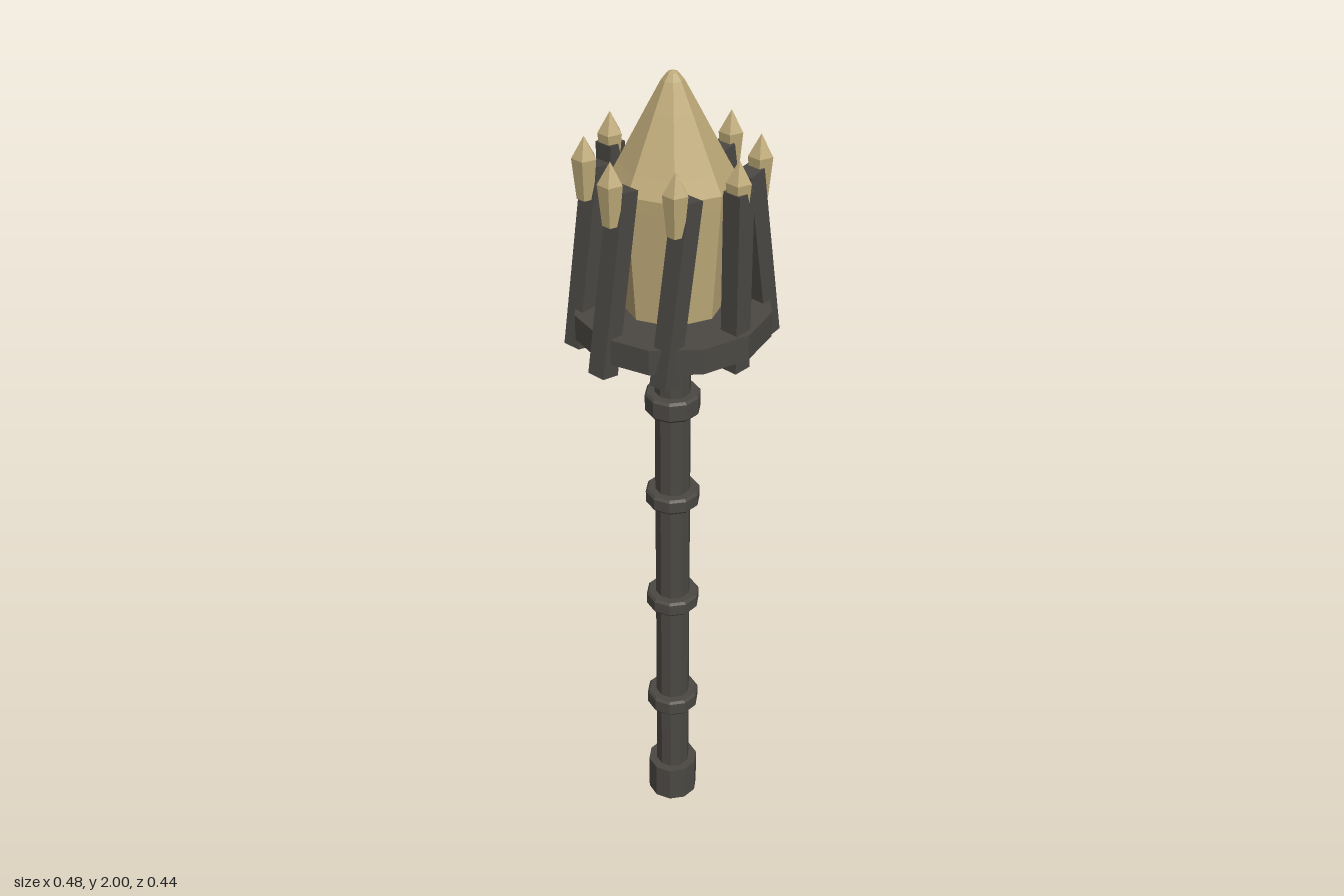
import * as THREE from 'three';

export function createModel() {
  const group = new THREE.Group();
  const iron = new THREE.MeshStandardMaterial({ color: 0x4b4843, flatShading: true });
  iron.name = 'dark iron';
  const gold = new THREE.MeshStandardMaterial({ color: 0xbda978, flatShading: true });
  gold.name = 'pale gold';

  const add = (name, geometry, material, x = 0, y = 0, z = 0) => {
    const mesh = new THREE.Mesh(geometry, material);
    mesh.name = name;
    mesh.position.set(x, y, z);
    group.add(mesh);
    return mesh;
  };
  // upright prism, with a corner facing +x
  const prism = (r, h, sides) => new THREE.CylinderGeometry(r, r, h, sides).rotateY(Math.PI / 2);
  const lathe = (profile, sides) =>
    new THREE.LatheGeometry(profile.map(([r, y]) => new THREE.Vector2(r, y)), sides);

  // handle
  add('shaft', prism(0.042, 1.35, 10), iron, 0, 0.68, 0);
  add('pommel', prism(0.063, 0.1, 10), iron, 0, 0.05, 0);
  for (const [y, h] of [[0.32, 0.044], [0.645, 0.04], [0.953, 0.04], [1.215, 0.052]]) {
    const b = 0.006;
    const profile = [[0.04, -h / 2], [0.06, -h / 2], [0.065, -h / 2 + b],
      [0.065, h / 2 - b], [0.06, h / 2], [0.04, h / 2]];
    add('gripRing', lathe(profile, 10).rotateY(Math.PI / 2), iron, 0, y, 0);
  }

  // head: faceted core standing through a twelve-sided collar
  add('core', lathe([[0, 1.383], [0.065, 1.383], [0.1, 1.402], [0.116, 1.47], [0.136, 1.735],
    [0.138, 1.765], [0.116, 1.805], [0.056, 1.92], [0.024, 1.98], [0.012, 1.995], [0, 2]], 8), gold);
  add('collar', prism(0.222, 0.06, 12), iron, 0, 1.44, 0);

  // eight bars, leaning sideways only, each with a pointed tip
  const tip = lathe([[0, -0.07], [0.019, -0.07], [0.028, 0.022], [0, 0.07]], 5).rotateY(Math.PI / 2);
  const bar = new THREE.BoxGeometry(0.045, 0.415, 0.045);
  for (let i = 0; i < 8; i++) {
    const a = (i * Math.PI) / 4;
    const x = 0.184 * Math.cos(a);
    const z = 0.184 * Math.sin(a);
    const side = Math.abs(x) < 0.01 ? 0 : Math.sign(x);
    add('cageBar', bar, iron, x, 1.584, z).rotation.z = side * 0.17;
    add('barTip', tip, gold, x, 1.79, z);
  }
  return group;
}
